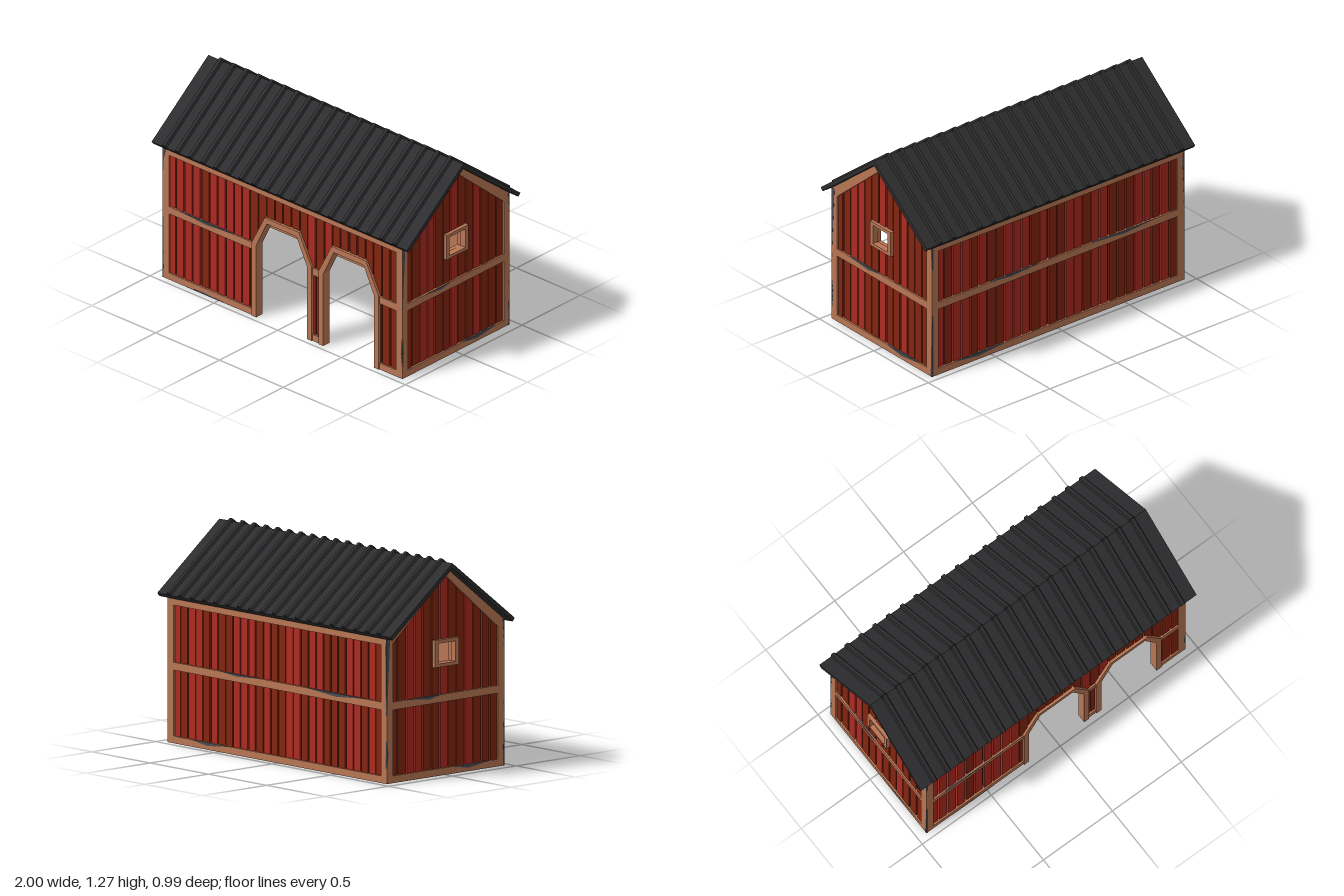
import * as THREE from 'three';

const material = (color) => new THREE.MeshStandardMaterial({ color, flatShading: true });
const timber = material(0xb87654);
const bright = material(0xab2a20);
const dark = material(0x83250f);
const groove = material(0x431408);
const worn = material(0x484b52);
const slate = material(0x2d2d2f);

// Depths measured outwards from a wall's outer face
const INNER = -0.05, BACKING = -0.028, BOARD = -0.024, PLANK = -0.012;
const W = 0.94, D = 0.46, EAVE = 0.86, RIDGE = 1.22, SLOPE = 0.78;

let seed = 7;
const rand = () => (seed = (seed * 16807) % 2147483647) / 2147483647;

const vec = (pts) => pts.map(([x, y]) => new THREE.Vector2(x, y));
const rect = (x0, y0, x1, y1) => [[x0, y0], [x1, y0], [x1, y1], [x0, y1]];

// Flat outline extruded from depth z0 to z1
function slab(parent, name, pts, z0, z1, mat, holes = []) {
  const shape = new THREE.Shape(vec(pts));
  holes.forEach((h) => shape.holes.push(new THREE.Path(vec(h))));
  const geometry = new THREE.ExtrudeGeometry(shape, { depth: z1 - z0, bevelEnabled: false });
  geometry.translate(0, 0, z0);
  const mesh = new THREE.Mesh(geometry, mat);
  mesh.name = name;
  parent.add(mesh);
  return mesh;
}

// Vertical planks between u0 and u1, cut at the breaks; spans(u) lists [bottom, top] functions
function planks(parent, u0, u1, pattern, breaks, spans) {
  const pitch = (u1 - u0) / pattern.length;
  for (let i = 0; i < pattern.length; i++) {
    const a = u0 + i * pitch + 0.002 + rand() * 0.005;
    const b = u0 + (i + 1) * pitch - 0.002 - rand() * 0.005;
    const cuts = [a, ...breaks.filter((c) => c > a && c < b), b];
    const lift = rand() * 0.004;
    for (let k = 0; k + 1 < cuts.length; k++) {
      const [l, r] = [cuts[k], cuts[k + 1]];
      for (const [lo, hi] of spans((l + r) / 2)) {
        slab(parent, 'plank', [[l, lo(l)], [r, lo(r)], [r, hi(r)], [l, hi(l)]],
          BOARD, PLANK + lift, pattern[i] === 'b' ? bright : dark);
      }
    }
  }
}

function core(parent, outline, holes) {
  slab(parent, 'wallLining', outline, INNER, BACKING, timber, holes);
  slab(parent, 'wallBacking', outline, BACKING, BOARD, groove, holes);
}

const beam = (parent, name, ...r) => slab(parent, name, rect(...r), INNER, 0, timber);
const chips = (parent, list) => list.forEach((t) => slab(parent, 'wornPatch', t, -0.01, 0.001, worn));

// Half-hexagonal doorway outline, grown by g
const archPoints = (cx, g) => [
  [cx - 0.2 - g, 0], [cx - 0.2 - g, 0.47 + g * 0.3], [cx - 0.117 - g * 0.5, 0.64 + g],
  [cx + 0.117 + g * 0.5, 0.64 + g], [cx + 0.2 + g, 0.47 + g * 0.3], [cx + 0.2 + g, 0]];
const DOORS = [0, 0.525];
const TRIM = 0.035;

function longWall(doors, pattern) {
  const wall = new THREE.Group();
  const outline = [[-W + 0.02, 0]];
  doors.forEach((cx) => outline.push(...archPoints(cx, 0.01)));
  outline.push([W - 0.02, 0], [W - 0.02, EAVE], [-W + 0.02, EAVE]);
  core(wall, outline, []);

  // Planks stop at the sloping doorway heads
  const bottom = () => 0.02, top = () => 0.84;
  const breaks = doors.flatMap((cx) => archPoints(cx, 0.02).slice(1, 5).map((p) => p[0]));
  planks(wall, -0.905, 0.9, pattern, breaks, (u) => {
    const cx = doors.find((c) => Math.abs(u - c) < 0.22);
    if (cx === undefined) return [[bottom, top]];
    const p = archPoints(cx, 0.02);
    const i = p.findIndex((q, k) => k > 0 && k < 4 && u >= q[0] && u <= p[k + 1][0]);
    const head = (x) => p[i][1] + (p[i + 1][1] - p[i][1]) * (x - p[i][0]) / (p[i + 1][0] - p[i][0]);
    return [[head, top]];
  });

  // Frame: posts, top rail, and sill and middle rails broken by the doorways
  beam(wall, 'cornerPost', -W, 0, -0.902, EAVE);
  beam(wall, 'cornerPost', 0.89, 0, W, EAVE);
  beam(wall, 'topRail', -W, 0.812, W, EAVE);
  const stops = [-W, ...doors.flatMap((c) => [c - 0.2 - TRIM, c + 0.2 + TRIM]), W];
  for (let i = 0; i < stops.length; i += 2) {
    beam(wall, 'sill', stops[i], 0, stops[i + 1], 0.042);
    beam(wall, 'middleRail', stops[i], 0.43, stops[i + 1], 0.476);
  }
  doors.forEach((cx) => slab(wall, 'doorTrim',
    [...archPoints(cx, TRIM), ...archPoints(cx, 0).reverse()], INNER, 0.006, timber));
  return wall;
}

function gableWall() {
  const wall = new THREE.Group();
  const roofLine = (u) => RIDGE - SLOPE * Math.abs(u);
  const hole = rect(-0.068, 0.66, 0.068, 0.78);
  const e = D - 0.02;
  core(wall, [[-e, 0], [e, 0], [e, roofLine(e)], [0, RIDGE], [-e, roofLine(e)]], [hole]);
  const at = (y) => () => y;
  const top = (u) => roofLine(u) - 0.02;
  planks(wall, -0.43, 0.42, 'ddbbddbddbddd', [-0.08, 0, 0.08], (u) =>
    Math.abs(u) < 0.08 ? [[at(0.02), at(0.65)], [at(0.79), top]] : [[at(0.02), top]]);

  beam(wall, 'sill', -D, 0, D, 0.042);
  beam(wall, 'middleRail', -D, 0.43, D, 0.476);
  for (const s of [-1, 1]) {
    beam(wall, 'cornerPost', s * 0.425, 0, s * D, EAVE);
    slab(wall, 'gableRafter', [[0, RIDGE], [s * D, roofLine(D)], [s * D, 0.81], [s * 0.425, 0.81], [0, 1.17]],
      INNER, 0, timber);
  }
  slab(wall, 'windowFrame', rect(-0.095, 0.64, 0.095, 0.8), INNER, 0.012, timber, [hole]);
  chips(wall, [
    [[-0.3, 0.476], [-0.12, 0.458], [-0.03, 0.476]], [[0.05, 0.042], [0.18, 0.02], [0.34, 0.042]],
    [[-D, 0.4], [-0.435, 0.86], [-D, 0.86]], [[-D, 0.09], [-0.447, 0.17], [-D, 0.25]],
    [[D, 0], [D, 0.4], [0.448, 0]], [[D, 0.7], [D, 0.86], [0.447, 0.86]]]);
  return wall;
}

function roof() {
  const group = new THREE.Group();
  group.name = 'roof';
  const sheet = slab(group, 'roofSheet', [[0, 1.25], [0.487, 0.872], [0.47, 0.852], [0, RIDGE], [-0.47, 0.852], [-0.487, 0.872]],
    -1, 1, slate);
  sheet.rotation.y = Math.PI / 2;

  // Raised seams down both slopes
  const angle = Math.atan2(0.378, 0.487);
  for (const side of [0, Math.PI]) {
    const slope = new THREE.Group();
    slope.name = 'roofSlope';
    slope.rotation.y = side;
    for (let i = -9; i <= 9; i++) {
      const seam = slab(slope, 'roofSeam', [[-0.02, -0.005], [0.02, -0.005], [0.011, 0.014], [-0.011, 0.014]],
        -0.008, 0.614, slate);
      seam.rotation.x = angle;
      seam.position.set(i * 0.1, 1.25, 0);
    }
    group.add(slope);
  }
  return group;
}

export function createModel() {
  const model = new THREE.Group();
  model.name = 'barn';

  const front = longWall(DOORS, 'bbbbdbbbbbdddddddbdbdddddddd');
  front.name = 'frontWall';
  front.position.z = D;
  chips(front, [
    [[-0.8, 0.476], [-0.6, 0.46], [-0.38, 0.476]], [[-0.75, 0], [-0.62, 0.012], [-0.45, 0]],
    [[W, 0.08], [W, 0.26], [0.928, 0.16]], [[-W, 0.75], [-W, 0.85], [-0.91, 0.85]],
    [[-W, 0], [-W, 0.25], [-0.93, 0]]]);

  const back = longWall([], 'bdbbdbddbbbdbddbbdbbdddbbdbd');
  back.name = 'backWall';
  back.position.z = -D;
  back.rotation.y = Math.PI;
  chips(back, [
    [[0.25, 0.476], [0.5, 0.456], [0.75, 0.476]], [[-0.75, 0.042], [-0.6, 0.022], [-0.4, 0.042]],
    [[-0.5, 0.476], [-0.35, 0.462], [-0.15, 0.476]], [[W, 0.5], [W, 0.86], [0.925, 0.8]]]);

  model.add(front, back, roof());
  for (const s of [-1, 1]) {
    const gable = gableWall();
    gable.name = s > 0 ? 'leftGable' : 'rightGable';
    gable.position.x = s * W;
    gable.rotation.y = s * Math.PI / 2;
    model.add(gable);
  }
  return model;
}
